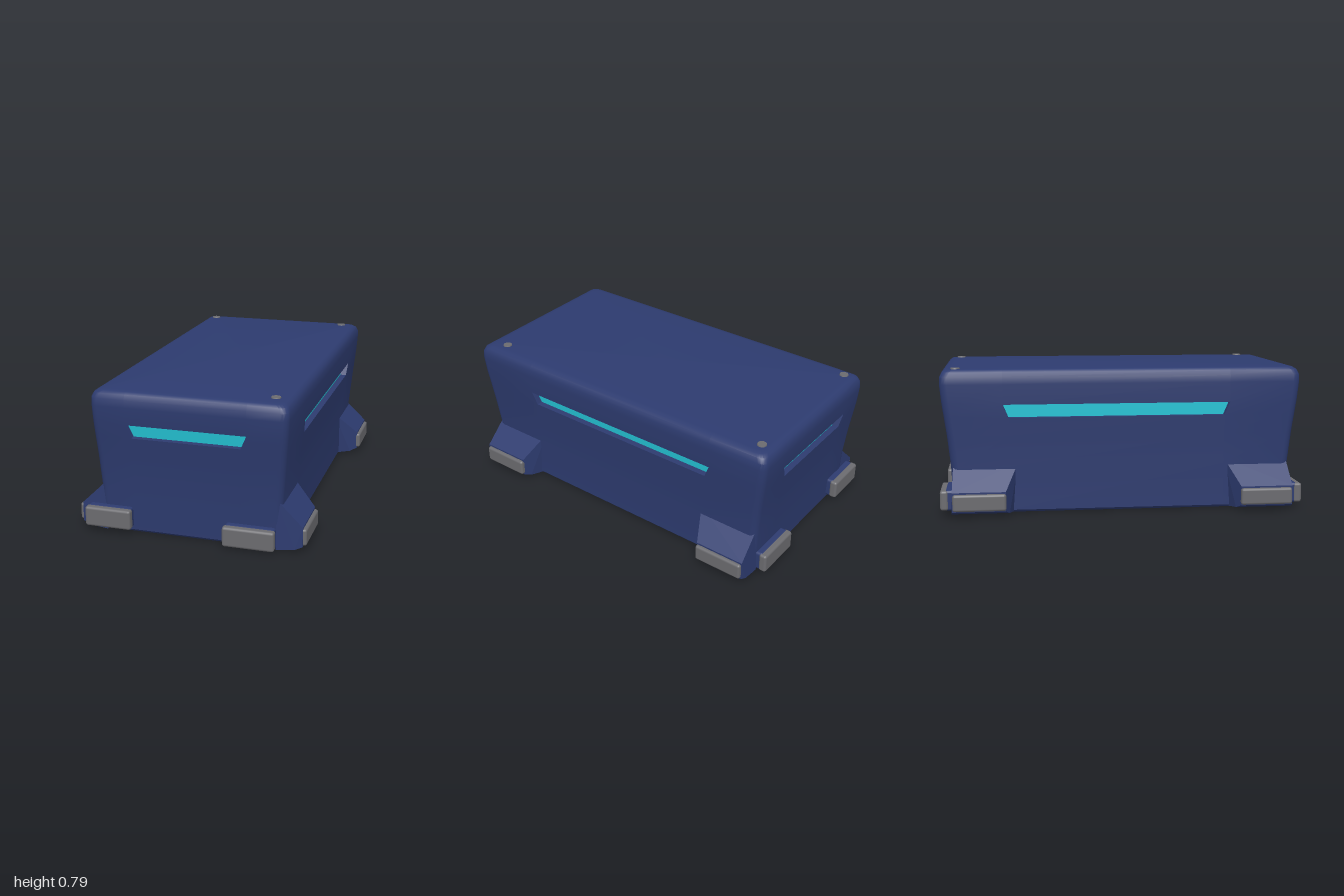
import * as THREE from 'three';
import { toCreasedNormals } from 'three/addons/utils/BufferGeometryUtils.js';
import { RoundedBoxGeometry } from 'three/addons/geometries/RoundedBoxGeometry.js';
import { ConvexGeometry } from 'three/addons/geometries/ConvexGeometry.js';

const material = (name, color) => Object.assign(new THREE.MeshStandardMaterial({ color }), { name });

// Height, half width, half depth and sideways shift of each body ring
const RINGS = [
  [0, 0.48, 0.912, 0], [0.012, 0.49, 0.922, 0], [0.25, 0.492, 0.932, 0], [0.42, 0.503, 0.95, 0.004],
  [0.535, 0.511, 0.966, 0.006], [0.607, 0.516, 0.976, 0.008], [0.7, 0.52, 0.985, 0.01],
  [0.74, 0.519, 0.983, 0.01], [0.765, 0.508, 0.971, 0.01], [0.777, 0.49, 0.953, 0.01], [0.78, 0.465, 0.928, 0.01],
];
const SLOT_ROW = 4;   // slots lie between this ring and the next
const PER_SIDE = 7;   // two slot points and five corner points
const DEPTH = 0.035;

// Sides in order: front, left (+x), back, right (-x)
const turn = (k, u, v) => [[u, v], [v, -u], [-u, -v], [-v, u]][k];

function ringPoints([y, hx, hz, shift], row) {
  const points = [];
  const inSlot = row === SLOT_ROW || row === SLOT_ROW + 1;
  for (let k = 0; k < 4; k++) {
    const onSide = k % 2 === 1;
    const [hu, hv] = onSide ? [hz, hx] : [hx, hz];
    const half = (onSide ? 0.62 : 0.32) - (row <= SLOT_ROW ? 0.03 : 0);
    const middle = [-0.01, 0.03, 0.01, -0.03][k];
    const add = (u, v, py) => {
      const [x, z] = turn(k, u, v);
      points.push(new THREE.Vector3(x + shift, py, z));
    };
    const slotY = y - (inSlot && onSide ? 0.016 : 0);
    add(middle - half, hv, slotY);
    add(middle + half, hv, slotY);
    const r = 0.04;
    for (let i = 0; i < 5; i++) {
      const a = i * Math.PI / 8;
      add(hu - r + r * Math.sin(a), hv - r + r * Math.cos(a), y);
    }
  }
  return points;
}

function buildGeometry(triangles) {
  const g = new THREE.BufferGeometry().setFromPoints(triangles);
  return toCreasedNormals(g, 0.6);
}

function addBody(group, blue, cyan) {
  const shell = [], glow = [];
  const quad = (list, a, b, c, d) => list.push(a, b, c, a, c, d);
  const rings = RINGS.map(ringPoints);
  const n = rings[0].length;

  // Walls, with a sunken slot in each side
  for (let row = 0; row < rings.length - 1; row++) {
    for (let i = 0; i < n; i++) {
      const j = (i + 1) % n;
      const outer = [rings[row][i], rings[row][j], rings[row + 1][j], rings[row + 1][i]];
      if (row === SLOT_ROW && i % PER_SIDE === 0) {
        const [nx, nz] = turn(i / PER_SIDE, 0, 1);
        const inner = outer.map(p => p.clone().add(new THREE.Vector3(-nx * DEPTH, 0, -nz * DEPTH)));
        for (let e = 0; e < 4; e++) {
          const f = (e + 1) % 4;
          quad(shell, outer[e], outer[f], inner[f], inner[e]);
        }
        quad(glow, ...inner);
      } else quad(shell, ...outer);
    }
  }

  // Lid and underside
  const top = rings[rings.length - 1], bottom = rings[0];
  const topMid = new THREE.Vector3(0.01, 0.78, 0), bottomMid = new THREE.Vector3();
  for (let i = 0; i < n; i++) {
    const j = (i + 1) % n;
    shell.push(top[i], top[j], topMid, bottom[j], bottom[i], bottomMid);
  }
  addMesh(group, 'body', buildGeometry(shell), blue);
  addMesh(group, 'lightStrips', buildGeometry(glow), cyan);
}

function addMesh(parent, name, geometry, mat, x = 0, y = 0, z = 0) {
  const mesh = new THREE.Mesh(geometry, mat);
  mesh.name = name;
  mesh.position.set(x, y, z);
  parent.add(mesh);
  return mesh;
}

export function createModel() {
  const model = new THREE.Group();
  model.name = 'storageCrate';
  const blue = material('navy shell', 0x2d3b6f);
  const cyan = material('cyan light', 0x25c6d8);
  const grey = material('grey rubber', 0x6b6b6f);

  addBody(model, blue, cyan);

  for (const sz of [1, -1]) {
    // Flared side feet with grey bumpers
    for (const sx of [1, -1]) {
      const flare = [
        [0.46, 0, 0.59], [0.46, 0, 0.93], [0.46, 0.27, 0.57], [0.46, 0.27, 0.92],
        [0.56, 0.012, 0.62], [0.56, 0.012, 0.93], [0.6, 0.03, 0.64], [0.6, 0.03, 0.925],
        [0.6, 0.135, 0.64], [0.6, 0.135, 0.925],
      ].map(([x, y, z]) => new THREE.Vector3(x * sx, y, z * sz));
      addMesh(model, 'sideFoot', new ConvexGeometry(flare), blue);
      addMesh(model, 'sideBumper', new RoundedBoxGeometry(0.05, 0.092, 0.285, 2, 0.014), grey,
        sx * 0.594, 0.08, sz * 0.78);
    }
    // End feet with grey bumpers
    for (const [x, y, w] of [[-0.435, 0.085, 0.255], [0.328, 0.062, 0.275]]) {
      addMesh(model, 'endFoot', new RoundedBoxGeometry(w - 0.01, 0.112, 0.1, 2, 0.015), blue, x, y, sz * 0.915);
      addMesh(model, 'endBumper', new RoundedBoxGeometry(w, 0.108, 0.045, 2, 0.014), grey, x, y, sz * 0.9675);
    }
  }

  // Lid studs
  for (const [x, z] of [[-0.435, -0.9], [0.425, -0.9], [0.435, 0.85]]) {
    addMesh(model, 'lidStud', new THREE.CylinderGeometry(0.024, 0.028, 0.014, 16), grey, x, 0.779, z);
  }
  return model;
}
